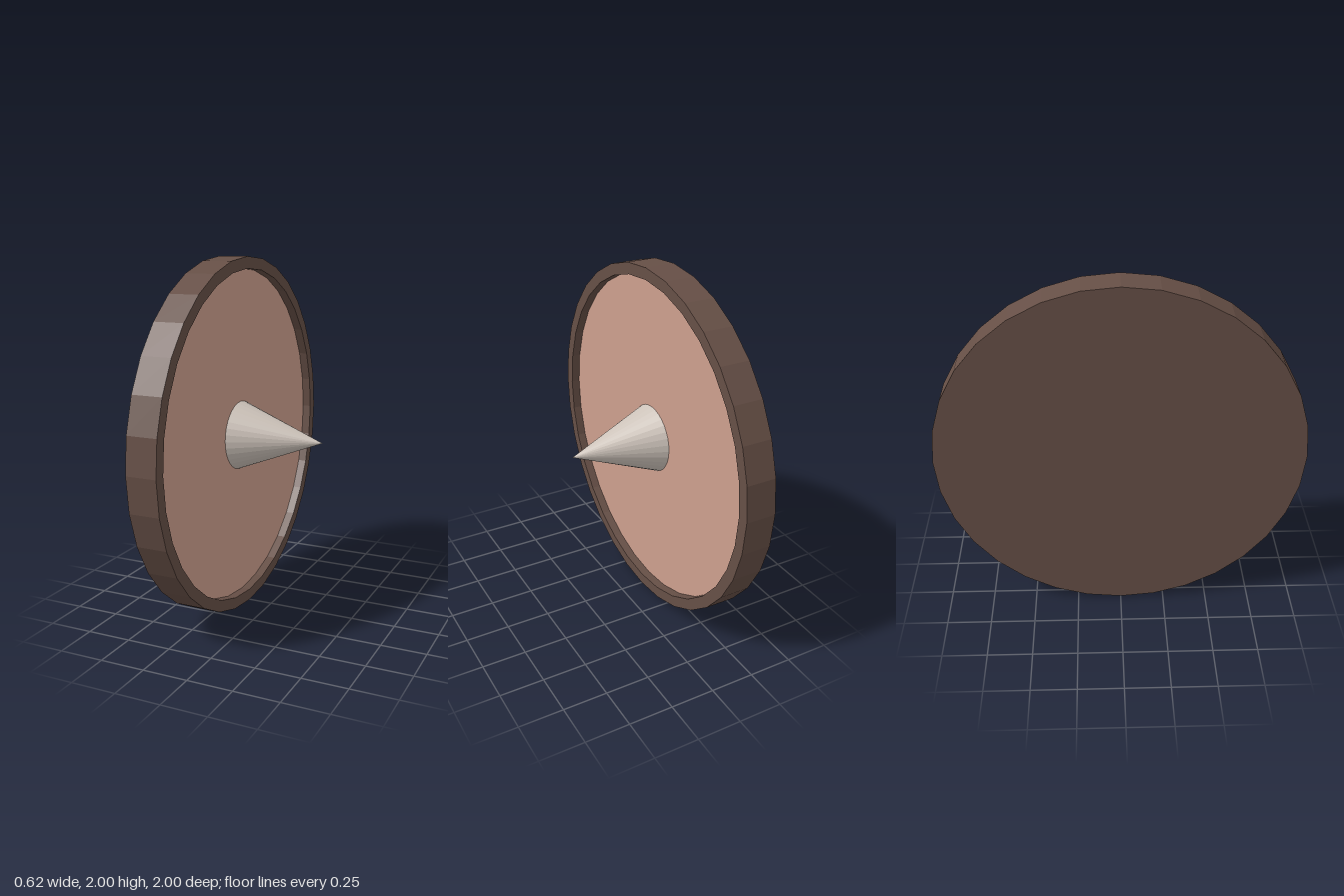
import * as THREE from 'three';

const SIDES = 32;
const material = (color) => new THREE.MeshStandardMaterial({ color, flatShading: true });

// Each part is turned around y, then the whole model is tipped so that +y becomes +x
function addPart(group, name, geometry, color) {
  geometry.rotateZ(-Math.PI / 2);
  const mesh = new THREE.Mesh(geometry, material(color));
  mesh.name = name;
  group.add(mesh);
}

export function createModel() {
  const group = new THREE.Group();
  group.name = 'spikedShield';
  const back = -0.31, front = -0.14, floor = -0.19;

  // Solid back, outer edge and raised rim in one profile
  const profile = [
    [0, back], [1, back], [1, front], [0.935, front], [0.935, floor],
  ].map(([r, h]) => new THREE.Vector2(r, h));
  addPart(group, 'rim', new THREE.LatheGeometry(profile, SIDES), 0x664f46);

  // Recessed face inside the rim
  const face = new THREE.CircleGeometry(0.935, SIDES);
  face.rotateX(-Math.PI / 2).translate(0, floor, 0);
  addPart(group, 'face', face, 0xcd9f8e);

  // Central spike standing on the face
  const length = 0.31 - floor;
  const spike = new THREE.ConeGeometry(0.195, length, SIDES);
  spike.translate(0, floor + length / 2, 0);
  addPart(group, 'spike', spike, 0xcdc3ba);

  group.position.y = 1;
  const model = new THREE.Group();
  model.add(group);
  return model;
}
